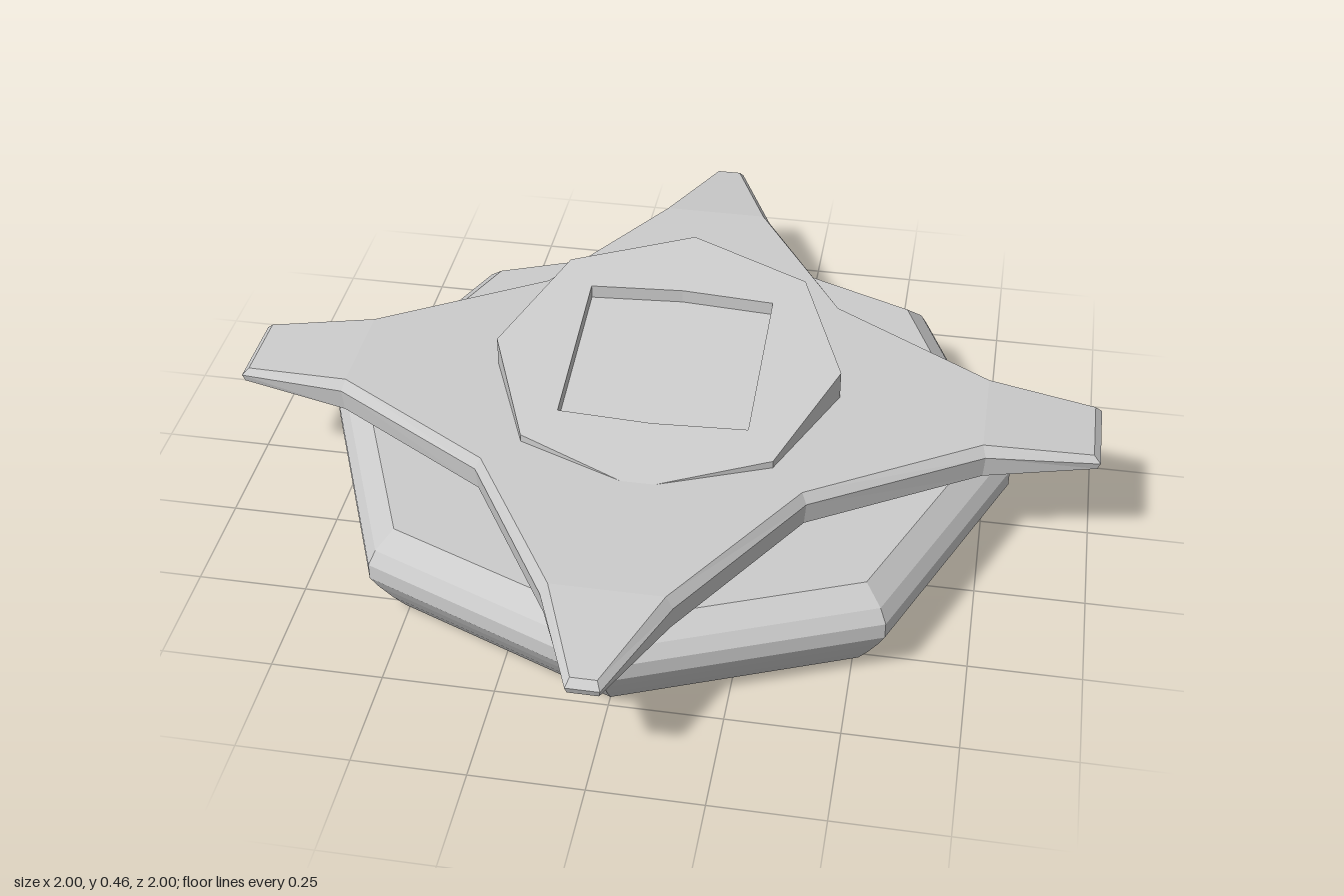
import * as THREE from 'three';

const material = new THREE.MeshStandardMaterial({ color: 0xcccccc, flatShading: true });

function addMesh(group, name, geometry, mat = material) {
  const mesh = new THREE.Mesh(geometry, mat);
  mesh.name = name;
  group.add(mesh);
  return mesh;
}

// Eight-sided cushion with rounded rim
function baseGeometry() {
  const profile = [
    [0, 0], [0.725, 0], [0.755, 0.04], [0.785, 0.085], [0.805, 0.12],
    [0.805, 0.158], [0.785, 0.19], [0.735, 0.228], [0, 0.228],
  ].map(([r, y]) => new THREE.Vector2(r, y));
  return new THREE.LatheGeometry(profile, 8);
}

// One closed loop of the four-armed plate: wide arms on x, pointed arms on z.
// Each point is [x, z, y]; tips have their own height.
function plateLoop(inset, y, tipY) {
  const d = inset;
  const quarter = [
    [1 - d, 0.1 - d * 0.6, tipY], [0.745 - d * 0.5, 0.14 - d, y], [0.37 - d * 0.7, 0.37 - d * 0.7, y],
    [0.14 - d, 0.75 - d * 0.5, y], [0.036 - d * 0.5, 1 - d, tipY],
  ];
  const loop = [];
  for (const [sx, sz] of [[1, 1], [-1, 1], [-1, -1], [1, -1]]) {
    const part = quarter.map(([x, z, h]) => [x * sx, h, z * sz]);
    loop.push(...(sx * sz > 0 ? part : part.reverse()));
  }
  return loop;
}

function plateGeometry() {
  const loops = [plateLoop(0.006, 0.243, 0.267), plateLoop(0, 0.298, 0.284), plateLoop(0.016, 0.322, 0.3)];
  const pos = [];
  const tri = (a, b, c) => pos.push(...a, ...b, ...c);
  const n = loops[0].length;
  // Side wall and bevel
  for (let k = 0; k < 2; k++) {
    for (let i = 0; i < n; i++) {
      const j = (i + 1) % n;
      const [a, b, c, d] = [loops[k][i], loops[k][j], loops[k + 1][j], loops[k + 1][i]];
      tri(a, c, b);
      tri(a, d, c);
    }
  }
  // Flat middle as a fan, sloped tips as quads
  const cap = (loop, up) => {
    const face = (a, b, c) => (up ? tri(a, c, b) : tri(a, b, c));
    const tip = (i) => i % 5 === 0 || i % 5 === 4;
    const inner = loop.filter((p, i) => !tip(i));
    const centre = [0, inner[0][1], 0];
    inner.forEach((p, i) => face(centre, p, inner[(i + 1) % inner.length]));
    for (let q = 0; q < 4; q++) {
      const [a, b, c, d] = [3, 4, 5, 6].map((s) => loop[(q * 5 + s) % n]);
      face(a, b, c);
      face(a, c, d);
    }
  };
  cap(loops[2], true);
  cap(loops[0], false);
  const geometry = new THREE.BufferGeometry();
  geometry.setAttribute('position', new THREE.Float32BufferAttribute(pos, 3));
  geometry.computeVertexNormals();
  return geometry;
}

// Slanted top, rising towards the back
const slope = (z) => 0.39 - 0.176 * z;

// Lays a shape flat and maps its height by a rule
function layFlat(geometry, height) {
  geometry.rotateX(-Math.PI / 2);
  const p = geometry.attributes.position;
  for (let i = 0; i < p.count; i++) p.setY(i, height(p.getY(i), p.getZ(i)));
  geometry.computeVertexNormals();
  return geometry;
}

export function createModel() {
  const model = new THREE.Group();
  model.name = 'model';
  addMesh(model, 'base', baseGeometry());
  addMesh(model, 'fourArmedPlate', plateGeometry());

  // Octagonal wedge with a shallow recess, edges slightly bowed
  const octagon = new THREE.Shape(Array.from({ length: 8 }, (_, i) =>
    new THREE.Vector2(0.402 * Math.cos(i * Math.PI / 4), 0.402 * Math.sin(i * Math.PI / 4))));
  const recess = [[-0.217, -0.2], [0, -0.21], [0.217, -0.2], [0.217, 0.202], [0, 0.215], [-0.217, 0.202]]
    .map(([x, y]) => new THREE.Vector2(x, y));
  octagon.holes.push(new THREE.Path(recess));
  const wedge = new THREE.ExtrudeGeometry(octagon, { depth: 1, bevelEnabled: false });
  addMesh(model, 'slantedTop', layFlat(wedge, (y, z) => (y > 0.5 ? slope(z) : 0.226)));

  const floor = new THREE.ShapeGeometry(new THREE.Shape(recess));
  addMesh(model, 'recessFloor', layFlat(floor, (y, z) => slope(z) - 0.032));
  return model;
}
